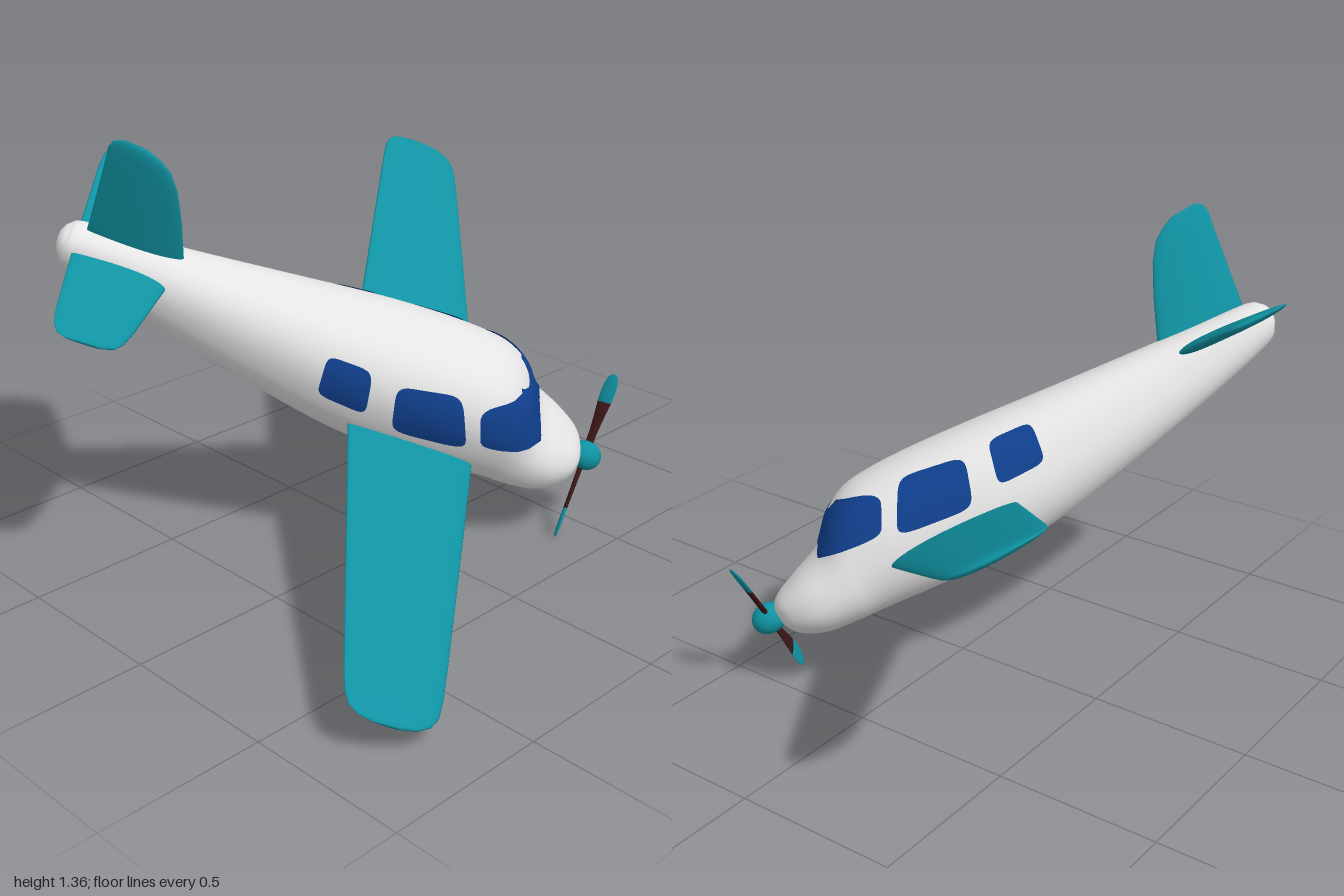
import * as THREE from 'three';

const V = (x, y, z) => new THREE.Vector3(x, y, z);
const paint = (name, color) => Object.assign(new THREE.MeshStandardMaterial({ color }), { name });

// Closed skin through a list of rings, closed to a point at both ends.
function loft(rings) {
  const mid = (r) => r.reduce((s, p) => s.add(p), V(0, 0, 0)).divideScalar(r.length);
  const first = mid(rings[0]), last = mid(rings[rings.length - 1]);
  const all = [rings[0].map(() => first), ...rings, rings[0].map(() => last)];
  const n = rings[0].length, index = [];
  for (let i = 0; i < all.length - 1; i++) {
    for (let j = 0; j < n; j++) {
      const a = i * n + j, b = i * n + (j + 1) % n;
      index.push(a, b, a + n, b, b + n, a + n);
    }
  }
  // Turn the faces outward if the enclosed volume is negative.
  const pts = all.flat();
  let volume = 0;
  for (let i = 0; i < index.length; i += 3) {
    volume += pts[index[i]].dot(V(0, 0, 0).crossVectors(pts[index[i + 1]], pts[index[i + 2]]));
  }
  if (volume < 0) index.reverse();
  const g = new THREE.BufferGeometry().setFromPoints(pts);
  g.setIndex(index);
  g.computeVertexNormals();
  return g;
}

// Airfoil skin: stations are [span, leading edge, trailing edge, thickness];
// place(span, chordwise, thickness offset) gives the point.
function airfoil(stations, place, n = 32) {
  return loft(stations.map(([s, le, te, th]) => Array.from({ length: n }, (_, i) => {
    const t = (i / n) * Math.PI * 2, c = Math.cos(t);
    return place(s, (le + te) / 2 + c * (le - te) / 2, Math.sin(t) * (0.8 + 0.2 * c) * th / 2);
  })));
}

const mirrored = (half) => [
  ...half.slice(1).reverse().map(([s, ...rest]) => [-s, ...rest]),
  ...half,
];

// Fuselage: [z, top, bottom, half width]
const BODY = [
  [-1.122, 0.06, 0.03, 0.02], [-1.105, 0.085, 0, 0.052], [-1.05, 0.11, -0.037, 0.076],
  [-0.775, 0.147, -0.09, 0.113], [-0.42, 0.197, -0.14, 0.175], [-0.15, 0.237, -0.163, 0.216],
  [0.06, 0.263, -0.152, 0.226], [0.2, 0.27, -0.137, 0.223], [0.28, 0.261, -0.125, 0.216],
  [0.35, 0.225, -0.115, 0.205], [0.43, 0.152, -0.105, 0.192], [0.53, 0.116, -0.087, 0.166],
  [0.6, 0.09, -0.052, 0.12], [0.63, 0.067, -0.015, 0.073], [0.637, 0.045, 0.01, 0.03],
];

function fuselageGeometry() {
  const spline = (f) => new THREE.CatmullRomCurve3(BODY.map(f), false, 'catmullrom', 0.5);
  const outline = spline(([z, top, bottom]) => V(z, top, bottom));
  const widths = spline(([z, , , w]) => V(z, w, 0));
  const rows = 84, n = 56, power = 2 / 2.3;
  const bend = (v) => Math.sign(v) * Math.abs(v) ** power;
  return loft(Array.from({ length: rows + 1 }, (_, k) => {
    const p = outline.getPoint(k / rows), w = widths.getPoint(k / rows).y;
    return Array.from({ length: n }, (_, i) => {
      const t = (i / n) * Math.PI * 2;
      return V(w * bend(Math.cos(t)), (p.y + p.z) / 2 + bend(Math.sin(t)) * (p.y - p.z) / 2, p.x);
    });
  }));
}

// Rounded pane laid on the body; ray(u, v) with u, v in -1..1 gives [origin, direction].
function pane(body, ray, rings = 9, n = 56) {
  const caster = new THREE.Raycaster();
  const pts = [], index = [];
  const round = (v) => Math.sign(v) * Math.abs(v) ** 0.36;
  for (let r = 0; r <= rings; r++) {
    for (let j = 0; j < n; j++) {
      const t = ((j + 0.5) / n) * Math.PI * 2, k = r / rings;
      const [origin, dir] = ray(k * round(Math.cos(t)), k * round(Math.sin(t)));
      caster.set(origin, dir);
      const hit = caster.intersectObject(body)[0];
      pts.push(hit ? hit.point.clone().addScaledVector(hit.face.normal, 0.005) : origin);
      if (r < rings) {
        const a = r * n + j, b = r * n + (j + 1) % n;
        index.push(a, a + n, b, b, a + n, b + n);
      }
    }
  }
  const g = new THREE.BufferGeometry().setFromPoints(pts);
  g.setIndex(index);
  g.computeVertexNormals();
  return g;
}

export function createModel() {
  const white = paint('body white', 0xe4e4e4);
  const teal = paint('wing teal', 0x1092a2);
  const blue = paint('window blue', 0x103f8c);
  const brown = paint('propeller brown', 0x3c1616);
  blue.side = THREE.DoubleSide;

  const plane = new THREE.Group();
  plane.name = 'airplane';
  const add = (name, geometry, material, parent = plane) => {
    const mesh = new THREE.Mesh(geometry, material);
    mesh.name = name;
    parent.add(mesh);
    return mesh;
  };

  const body = add('fuselage', fuselageGeometry(), white);

  // Main wings with slight dihedral and incidence
  add('wings', airfoil(mirrored([
    [0, 0.29, -0.147, 0.06], [0.5, 0.237, -0.132, 0.055], [1.0, 0.182, -0.117, 0.047],
    [1.13, 0.166, -0.113, 0.043], [1.19, 0.153, -0.108, 0.038], [1.225, 0.13, -0.095, 0.032],
    [1.246, 0.095, -0.07, 0.024], [1.256, 0.05, -0.03, 0.012],
  ]), (s, c, t) => V(s, -0.022 + 0.053 * Math.abs(s) + 0.07 * (c - 0.03) + t, c)), teal);

  // Tailplane
  add('tailplane', airfoil(mirrored([
    [0, -0.77, -1.075, 0.045], [0.12, -0.8, -1.075, 0.045], [0.33, -0.855, -1.075, 0.038],
    [0.39, -0.875, -1.07, 0.034], [0.42, -0.895, -1.058, 0.026], [0.434, -0.93, -1.035, 0.012],
  ]), (s, c, t) => V(s, 0.066 + 0.08 * Math.abs(s) + 0.1 * (c + 0.97) + t, c)), teal);

  // Upright fin
  add('fin', airfoil([
    [0.05, -0.73, -1.05, 0.05], [0.15, -0.775, -1.065, 0.048], [0.27, -0.832, -1.085, 0.044],
    [0.36, -0.882, -1.1, 0.038], [0.41, -0.922, -1.11, 0.034], [0.435, -0.96, -1.105, 0.026],
    [0.45, -1.0, -1.085, 0.014],
  ], (s, c, t) => V(t, s, c)), teal);

  // Side windows, corners as [z, y]: top front, bottom front, bottom rear, top rear
  const sideWindows = {
    DoorWindow: [[0.12, 0.212], [0.212, 0.075], [-0.022, 0.032], [-0.078, 0.168]],
    RearWindow: [[-0.158, 0.17], [-0.117, 0.048], [-0.272, 0.035], [-0.298, 0.152]],
  };
  for (const [name, [tf, bf, br, tr]] of Object.entries(sideWindows)) {
    for (const side of [1, -1]) {
      const lerp = THREE.MathUtils.lerp;
      add((side > 0 ? 'left' : 'right') + name, pane(body, (u, v) => {
        const p = (u + 1) / 2, q = (v + 1) / 2;
        const at = (i) => lerp(lerp(br[i], bf[i], p), lerp(tr[i], tf[i], p), q);
        return [V(side, at(1), at(0)), V(-side, 0, 0)];
      }), blue);
    }
  }

  // Windscreen wrapping around the front of the cabin
  add('windscreen', pane(body, (u, v) => {
    const q = (v + 1) / 2, crown = 0.042 * (1 - u * u);
    const heading = THREE.MathUtils.degToRad(THREE.MathUtils.lerp(56, 66, q)) * u;
    const dir = V(Math.sin(heading), 0, Math.cos(heading));
    const y = THREE.MathUtils.lerp(0.088, 0.204, q) + crown;
    return [V(0, y, 0.1).add(dir), dir.clone().negate()];
  }), blue);

  // Propeller with a spinner and two pitched blades
  const propeller = new THREE.Group();
  propeller.name = 'propeller';
  propeller.position.set(0, 0.037, 0.665);
  plane.add(propeller);
  add('spinner', new THREE.SphereGeometry(0.047, 32, 20), teal, propeller).scale.z = 1.15;
  const bladeRoot = [
    [0.02, 0.015, -0.015, 0.02], [0.08, 0.017, -0.017, 0.018],
    [0.13, 0.023, -0.023, 0.016], [0.18, 0.03, -0.03, 0.014],
  ];
  const bladeTip = [
    [0.18, 0.0305, -0.0305, 0.015], [0.215, 0.033, -0.033, 0.014], [0.245, 0.03, -0.03, 0.013],
    [0.265, 0.022, -0.022, 0.011], [0.276, 0.01, -0.01, 0.006],
  ];
  const across = (s, c, t) => V(c, s, t);
  for (const [i, name] of ['upperBlade', 'lowerBlade'].entries()) {
    const blade = new THREE.Group();
    blade.name = name;
    blade.rotation.z = -Math.PI / 4 + i * Math.PI;
    const pitched = new THREE.Group();
    pitched.rotation.y = 0.35;
    blade.add(pitched);
    propeller.add(blade);
    add('bladeRoot', airfoil(bladeRoot, across, 20), brown, pitched);
    add('bladeTip', airfoil(bladeTip, across, 20), teal, pitched);
  }

  // Diving, banked attitude
  const left = V(0.694, 0.343, -0.633).normalize();
  const nose = V(0.711, -0.453, 0.539).normalize();
  const up = V(0, 0, 0).crossVectors(nose, left).normalize();
  nose.crossVectors(left, up);
  plane.quaternion.setFromRotationMatrix(new THREE.Matrix4().makeBasis(left, up, nose));
  plane.position.set(0.042, 0.521, -0.038);

  const model = new THREE.Group();
  model.name = 'model';
  model.add(plane);
  return model;
}
